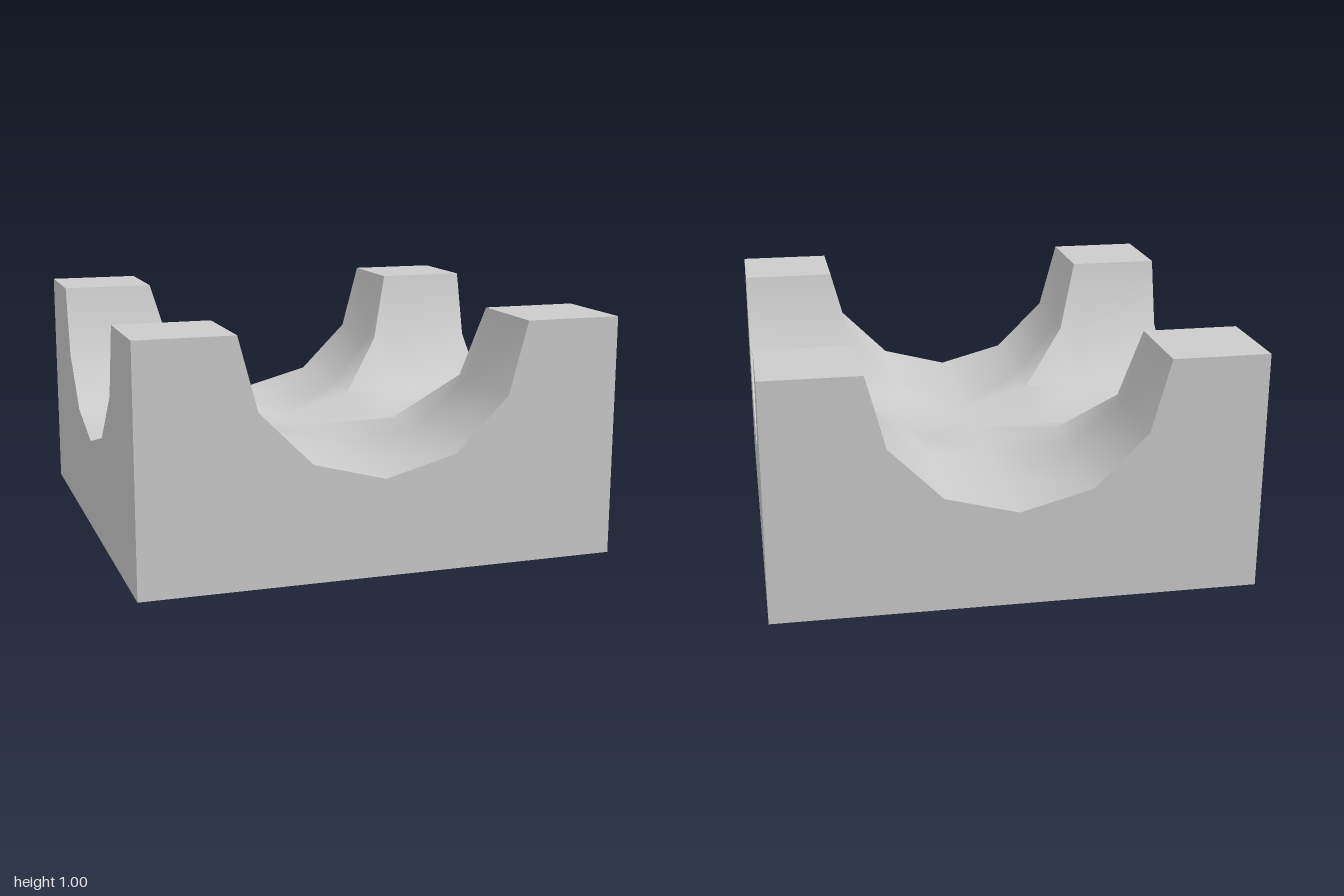
import * as THREE from 'three';
import { toCreasedNormals } from 'three/addons/utils/BufferGeometryUtils.js';

// Half profile of a channel: distance from its centre line, height
const PROFILE = [[0, 0.4], [0.3, 0.48], [0.52, 0.7], [0.6, 1], [1, 1]];
const FULL = [...PROFILE.slice(1).reverse().map(([d, h]) => [-d, h]), ...PROFILE];

// Two crossing channels: each grid point takes the lower of the two profiles
function crossingChannels() {
  const point = (i, k) => [FULL[i][0], Math.min(FULL[i][1], FULL[k][1]), FULL[k][0]];
  const positions = [];
  const last = FULL.length - 1;
  for (let i = 0; i < last; i++) {
    for (let k = 0; k < last; k++) {
      const a = point(i, k), b = point(i, k + 1), c = point(i + 1, k + 1), d = point(i + 1, k);
      // Split cells along the mitre that runs out from the centre
      const sameSign = (i < last / 2) === (k < last / 2);
      const corners = sameSign ? [a, b, c, a, c, d] : [a, b, d, b, c, d];
      positions.push(...corners.flat());
    }
  }
  const geometry = new THREE.BufferGeometry();
  geometry.setAttribute('position', new THREE.Float32BufferAttribute(positions, 3));
  return toCreasedNormals(geometry, THREE.MathUtils.degToRad(50));
}

export function createModel() {
  const group = new THREE.Group();
  group.name = 'crossChannelBlock';
  const material = new THREE.MeshStandardMaterial({ color: 0xcccccc });

  function add(name, geometry) {
    const mesh = new THREE.Mesh(geometry, material);
    mesh.name = name;
    group.add(mesh);
    return mesh;
  }

  // Carved top with the four corner posts
  add('channelSurface', crossingChannels());

  // Four identical outer walls
  const outline = new THREE.Shape([
    new THREE.Vector2(-1, 0),
    new THREE.Vector2(1, 0),
    ...FULL.map(([d, h]) => new THREE.Vector2(d, h)).reverse(),
  ]);
  const wall = new THREE.ShapeGeometry(outline).translate(0, 0, 1);
  ['frontWall', 'leftWall', 'backWall', 'rightWall'].forEach((name, i) => {
    add(name, wall).rotation.y = i * Math.PI / 2;
  });

  // Underside
  add('base', new THREE.PlaneGeometry(2, 2).rotateX(Math.PI / 2));

  return group;
}
